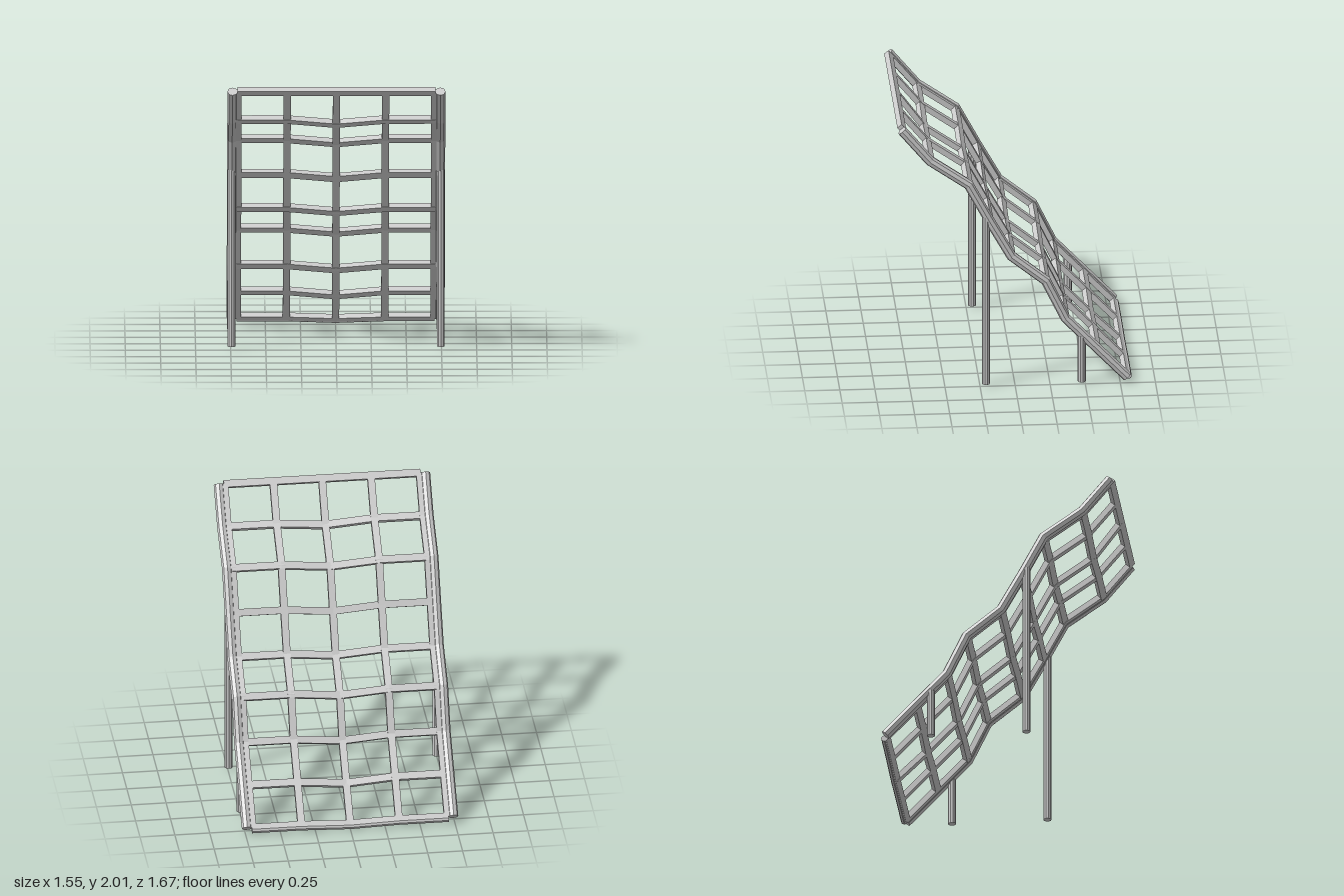
import * as THREE from 'three';

const material = new THREE.MeshStandardMaterial({ color: 0xcccccc, flatShading: true, side: THREE.DoubleSide });

// Slope profile as [z, y], from the low end to the high end
const profile = [
  [-0.8, 0.045], [-0.58, 0.275], [-0.36, 0.505], [-0.22, 0.795], [0.025, 0.99],
  [0.18, 1.265], [0.33, 1.545], [0.605, 1.735], [0.805, 1.975],
];
const columns = [-0.7, -0.35, 0, 0.35, 0.7];
const sagAt = (row) => (row === 0 ? 0.012 : row === profile.length - 1 ? 0 : 0.03);

// Cross-sections as [across, through] pairs, counter-clockwise
const slat = [[-0.026, -0.02], [0.026, -0.02], [0.026, 0.02], [-0.026, 0.02]];
const octagon = (r) => Array.from({ length: 8 }, (_, i) => [r * Math.cos(i * Math.PI / 4), r * Math.sin(i * Math.PI / 4)]);

// Skin a run of equal rings, with a cap on each end
function loft(name, rings) {
  const positions = [];
  const tri = (a, b, c) => positions.push(...a, ...b, ...c);
  const n = rings[0].length;
  const last = rings[rings.length - 1];
  for (let i = 0; i < rings.length - 1; i++) {
    for (let j = 0; j < n; j++) {
      const k = (j + 1) % n;
      tri(rings[i][j], rings[i][k], rings[i + 1][k]);
      tri(rings[i][j], rings[i + 1][k], rings[i + 1][j]);
    }
  }
  for (let j = 1; j < n - 1; j++) {
    tri(rings[0][0], rings[0][j + 1], rings[0][j]);
    tri(last[0], last[j], last[j + 1]);
  }
  const geometry = new THREE.BufferGeometry();
  geometry.setAttribute('position', new THREE.Float32BufferAttribute(positions, 3));
  geometry.computeVertexNormals();
  const mesh = new THREE.Mesh(geometry, material);
  mesh.name = name;
  return mesh;
}

// Slope direction at a profile point, and the miter stretch at that bend
function slopeAt(i, path) {
  const dir = (a, b) => new THREE.Vector2(b[0] - a[0], b[1] - a[1]).normalize();
  const before = dir(path[Math.max(i - 1, 0)], path[Math.max(i, 1)]);
  const after = dir(path[Math.min(i, path.length - 2)], path[Math.min(i + 1, path.length - 1)]);
  const t = before.clone().add(after).normalize();
  return { tz: t.x, ty: t.y, miter: 1 / t.dot(before) };
}

// Bar that follows the slope at a fixed x
function slopeBar(name, x, section, path) {
  return loft(name, path.map(([z, y], i) => {
    const { tz, ty, miter } = slopeAt(i, path);
    return section.map(([u, v]) => [x + u, y + v * tz * miter, z - v * ty * miter]);
  }));
}

// Bar that crosses the slope and sags at the middle column
function crossBar(name, row, section) {
  const [z, y] = profile[row];
  const { tz, ty } = slopeAt(row, profile);
  return loft(name, columns.map((x) => {
    const cy = y - (x === 0 ? sagAt(row) : 0);
    return section.map(([u, v]) => [x * 1.007, cy + u * ty - v * tz, z + u * tz + v * ty]);
  }));
}

export function createModel() {
  const model = new THREE.Group();
  model.name = 'climbingFrame';

  // Net of slats
  const net = new THREE.Group();
  net.name = 'net';
  columns.forEach((x) => {
    const path = profile.map(([z, y], i) => [z, y - (x === 0 ? sagAt(i) : 0)]);
    net.add(slopeBar('netUpright', x, slat, path));
  });
  profile.forEach((_, row) => net.add(crossBar('netCrossbar', row, slat)));
  model.add(net);

  // Round bar along the low edge
  const lowBar = crossBar('lowEdgeBar', 0, octagon(0.023));
  lowBar.position.set(0, -0.01, -0.012);
  model.add(lowBar);

  // Side rails and legs
  for (const side of [1, -1]) {
    const label = side > 0 ? 'left' : 'right';
    model.add(slopeBar(label + 'Rail', side * 0.74, octagon(0.036), profile));
    for (const [name, z, top] of [['TallLeg', 0.208, 1.3], ['ShortLeg', -0.475, 0.37]]) {
      const leg = new THREE.Mesh(new THREE.CylinderGeometry(0.029, 0.029, top - 0.02, 10), material);
      leg.name = label + name;
      leg.position.set(side * 0.745, (top + 0.02) / 2, z);
      model.add(leg);
    }
  }
  return model;
}
